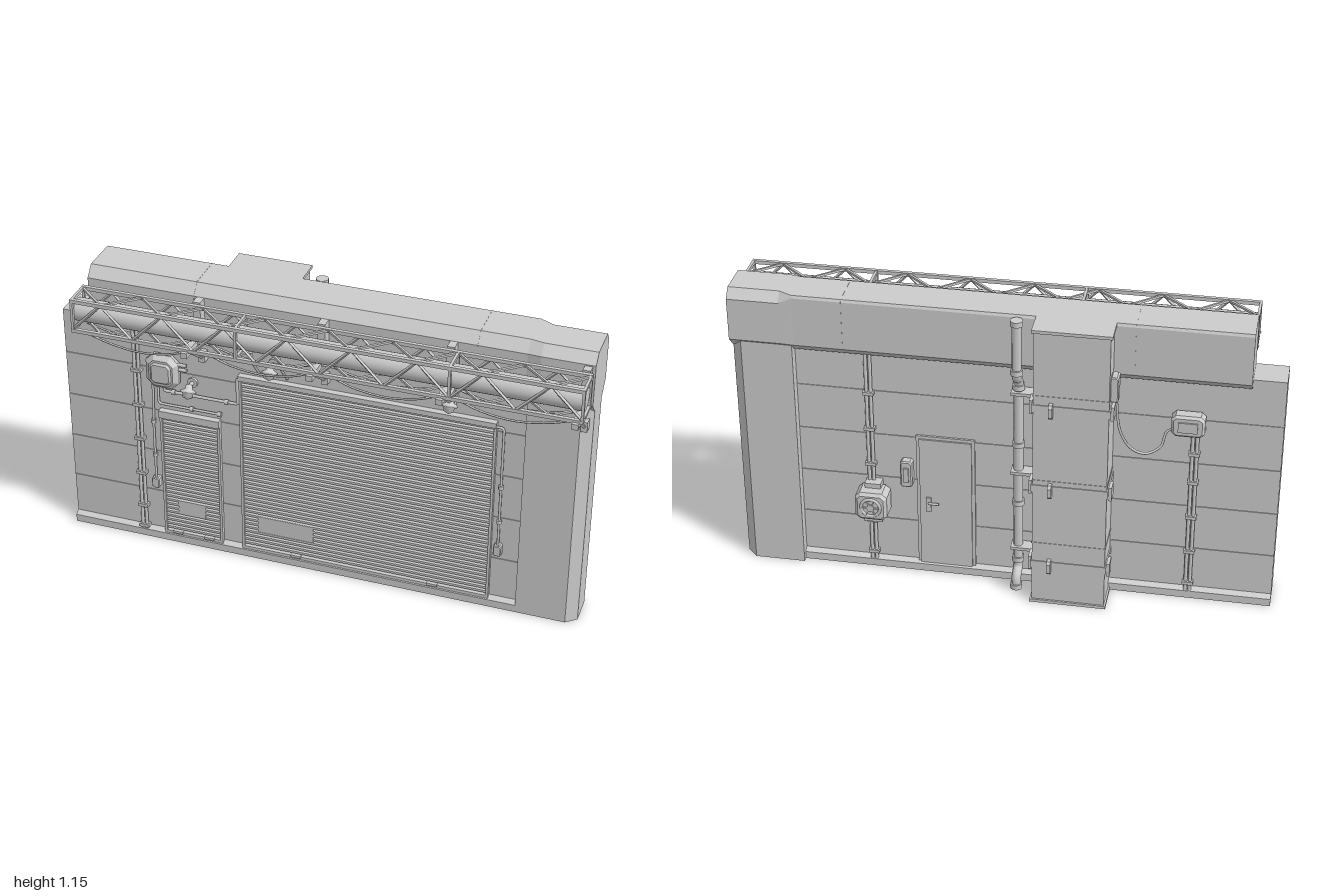
import * as THREE from 'three';

export function createModel() {
  const root = new THREE.Group();
  const mat = new THREE.MeshStandardMaterial({ color: 0xcccccc, flatShading: true });
  const smooth = new THREE.MeshStandardMaterial({ color: 0xcccccc, side: THREE.DoubleSide });
  const V = (p) => new THREE.Vector3(...p);

  const add = (name, geo, m = mat, parent = root) => {
    const mesh = new THREE.Mesh(geo, m);
    mesh.name = name;
    parent.add(mesh);
    return mesh;
  };
  // box given by its limits on x, y and z
  const box = (name, x0, x1, y0, y1, z0, z1, parent) => {
    const g = new THREE.BoxGeometry(x1 - x0, y1 - y0, z1 - z0);
    return add(name, g.translate((x0 + x1) / 2, (y0 + y1) / 2, (z0 + z1) / 2), mat, parent);
  };
  // straight bar between two points
  const rod = (name, a, b, r, sides = 8, parent = root) => {
    const A = V(a), B = V(b), d = B.clone().sub(A);
    const m = add(name, new THREE.CylinderGeometry(r, r, d.length(), sides), sides > 6 ? smooth : mat, parent);
    m.position.copy(A).lerp(B, 0.5);
    m.quaternion.setFromUnitVectors(new THREE.Vector3(0, 1, 0), d.normalize());
    return m;
  };
  // pipe through points with rounded bends
  const pipe = (name, pts, r, bend = 0.02) => {
    const P = pts.map(V), path = new THREE.CurvePath();
    let last = P[0];
    for (let i = 1; i < P.length - 1; i++) {
      const a = P[i].clone().add(P[i - 1].clone().sub(P[i]).setLength(bend));
      const b = P[i].clone().add(P[i + 1].clone().sub(P[i]).setLength(bend));
      path.add(new THREE.LineCurve3(last, a));
      path.add(new THREE.QuadraticBezierCurve3(a, P[i], b));
      last = b;
    }
    path.add(new THREE.LineCurve3(last, P[P.length - 1]));
    return add(name, new THREE.TubeGeometry(path, 24 * P.length, r, 8), smooth);
  };
  const cable = (name, pts, r) =>
    add(name, new THREE.TubeGeometry(new THREE.CatmullRomCurve3(pts.map(V)), 60, r, 6), smooth);
  // (z, y) outline extruded along x
  const alongX = (name, pts, x0, x1) => {
    const s = new THREE.Shape(pts.map(([z, y]) => new THREE.Vector2(-z, y)));
    const g = new THREE.ExtrudeGeometry(s, { depth: x1 - x0, bevelEnabled: false });
    return add(name, g.rotateY(Math.PI / 2).translate(x0, 0, 0));
  };
  // box with cut corners seen from the front, bevelled edges
  const caseBox = (name, x, y, z, w, h, d, c, parent = root) => {
    const a = w / 2, b = h / 2;
    const s = new THREE.Shape([[-a + c, -b], [a - c, -b], [a, -b + c], [a, b - c], [a - c, b], [-a + c, b], [-a, b - c], [-a, -b + c]]
      .map((p) => new THREE.Vector2(...p)));
    const t = c * 0.6;
    const g = new THREE.ExtrudeGeometry(s, { depth: d - 2 * t, bevelThickness: t, bevelSize: t, bevelOffset: -t, bevelSegments: 1 });
    return add(name, g.translate(x, y, z - d / 2 + t), mat, parent);
  };

  // wall: stacked panels with fine seams, and a wider foot
  for (let i = 0; i < 5; i++) {
    const y = 0.03 + i * 0.183;
    box('wallPanel', -1, 0.8, y, y + 0.181, -0.07, 0.05);
  }
  box('wallCore', -0.998, 0.8, 0.03, 0.94, -0.067, 0.047);
  alongX('foot', [[0.07, 0], [0.07, 0.03], [0.05, 0.042], [-0.07, 0.042], [-0.09, 0.03], [-0.09, 0]], -1, 0.8);

  // end pillar with cut outer corners
  const plan = [[0.77, 0.07], [0.96, 0.07], [1, 0.037], [1, -0.07], [0.96, -0.11], [0.77, -0.11]];
  const pillar = new THREE.ExtrudeGeometry(new THREE.Shape(plan.map(([x, z]) => new THREE.Vector2(x, -z))),
    { depth: 0.95, bevelEnabled: false });
  add('pillar', pillar.rotateX(-Math.PI / 2));

  // top beam: cross-sections that change into the chamfered cap
  const main = [[0.035, 1.145], [0.07, 1.105], [0.07, 0.945], [0.045, 0.915], [-0.085, 0.915], [-0.115, 0.945], [-0.117, 1.135], [-0.112, 1.145]];
  const cap = [[0.045, 1.145], [0.08, 1.11], [0.08, 0.948], [0.037, 0.905], [-0.075, 0.905], [-0.117, 0.948], [-0.117, 1.11], [-0.087, 1.145]];
  const beamPos = [], beamIdx = [];
  [[-0.88, main], [0.76, main], [0.81, cap], [1, cap]].forEach(([x, sec], k) => {
    sec.forEach(([z, y], i) => {
      beamPos.push(x, y, z);
      if (k < 3) {
        const a = k * 8 + i, b = k * 8 + (i + 1) % 8;
        beamIdx.push(a, b, a + 8, b, b + 8, a + 8);
      }
    });
  });
  for (let i = 1; i < 7; i++) beamIdx.push(0, i + 1, i, 24, 24 + i, 25 + i);
  const beam = new THREE.BufferGeometry();
  beam.setAttribute('position', new THREE.Float32BufferAttribute(beamPos, 3));
  beam.setIndex(beamIdx);
  const beamGeo = beam.toNonIndexed();
  beamGeo.computeVertexNormals();
  add('topBeam', beamGeo, new THREE.MeshStandardMaterial({ color: 0xcccccc, flatShading: true, side: THREE.DoubleSide }));
  for (const x of [-0.47, 0.58]) alongX('beamSeam', main.map(([z, y]) => [z * 1.01, y + 0.001]), x, x + 0.004);

  // roller shutters: ribbed sheet, rails, header and a plain plate
  const shutter = (x0, x1, top, header) => {
    const pts = [[0.045, 0.03]], n = Math.round((top - 0.03) / 0.0185), step = (top - 0.03) / n;
    for (let i = 0; i < n; i++) {
      const y = 0.03 + i * step;
      pts.push([0.053, y], [0.061, y + step * 0.25], [0.061, y + step * 0.75], [0.053, y + step * 0.98]);
    }
    pts.push([0.045, top]);
    alongX('shutterSlats', pts, x0, x1);
    for (const x of [x0, x1]) box('shutterRail', x - 0.005, x + 0.005, 0.03, top, 0.045, 0.066);
    box('shutterHeader', x0 - 0.005, x1 + 0.005, top, top + header, 0.045, 0.075);
    box('shutterSill', x0, x1, 0.03, 0.045, 0.045, 0.066);
    for (const t of [0.22, 0.78]) {
      const x = x0 + (x1 - x0) * t;
      box('shutterHandle', x - 0.02, x + 0.02, 0.04, 0.05, 0.06, 0.072);
    }
  };
  shutter(-0.3, 0.66, 0.785, 0.02);
  shutter(-0.62, -0.39, 0.56, 0.03);
  box('shutterPlate', -0.24, -0.02, 0.12, 0.19, 0.05, 0.0625);
  box('shutterPlate', -0.565, -0.455, 0.13, 0.19, 0.05, 0.0625);

  // truss: four chords, zigzag bracing, end frames, inner tube
  const truss = new THREE.Group();
  truss.name = 'truss';
  root.add(truss);
  const X0 = -0.88, X1 = 1, YB = 0.972, YT = 1.092, ZB = 0.119, ZF = 0.223;
  for (const y of [YB, YT]) for (const z of [ZB, ZF])
    box('chord', X0, X1, y - 0.007, y + 0.007, z - 0.007, z + 0.007, truss);
  const bays = 16, bay = (X1 - X0) / bays;
  for (let i = 0; i < bays; i++) {
    const a = X0 + i * bay, b = a + bay, up = i % 2;
    for (const z of [ZB, ZF]) rod('brace', [a, up ? YT : YB, z], [b, up ? YB : YT, z], 0.006, 4, truss);
    for (const y of [YB, YT]) rod('brace', [a, y, up ? ZF : ZB], [b, y, up ? ZB : ZF], 0.006, 4, truss);
  }
  for (const x of [X0 + 0.005, -0.25, 0.53, X1 - 0.005]) {
    for (const z of [ZB, ZF]) box('frameUpright', x - 0.005, x + 0.005, YB, YT, z - 0.006, z + 0.006, truss);
    for (const y of [YB, YT]) box('frameCross', x - 0.005, x + 0.005, y - 0.006, y + 0.006, ZB, ZF, truss);
  }
  rod('innerTube', [X0 + 0.005, 1.033, 0.172], [X1 - 0.005, 1.033, 0.172], 0.043, 24, truss);

  // brackets that carry the truss
  for (const x of [-0.44, 0.03, 0.5, 0.975]) {
    box('bracketPlate', x - 0.014, x + 0.014, 0.948, 1.105, 0.068, 0.11);
    box('bracketShelf', x - 0.012, x + 0.012, 0.948, 0.97, 0.075, 0.243);
    rod('bracketStrut', [x, 0.955, 0.2], [x, 0.86, 0.075], 0.007, 4);
    box('bracketFoot', x - 0.012, x + 0.012, 0.84, 0.88, 0.045, 0.08);
  }

  // cables sagging below the truss, and hanging leads
  for (const [z, sag] of [[0.14, 0.035], [0.195, 0.05]]) {
    const pts = [];
    for (let i = 0; i <= 16; i++) pts.push([-0.86 + i * 0.115, 0.96 - sag * Math.sin((i % 4) * Math.PI / 4), z]);
    cable('saggingCable', pts, 0.004);
  }
  for (const x of [-0.225, -0.12]) pipe('lampLead', [[x, 0.97, 0.14], [x, 0.9, 0.12], [x, 0.82, 0.055]], 0.005);

  // wall lamps
  const lampProfile = [[0, 0.03], [0.012, 0.028], [0.014, 0.012], [0.03, 0.004], [0.03, -0.002], [0.02, -0.006], [0.018, -0.02], [0, -0.028]]
    .map((p) => new THREE.Vector2(...p));
  for (const [x, y] of [[-0.49, 0.715], [-0.17, 0.86], [0.5, 0.86]]) {
    const lamp = add('lamp', new THREE.LatheGeometry(lampProfile, 16), smooth);
    lamp.position.set(x, y, 0.1);
    lamp.rotation.x = -0.5;
    rod('lampArm', [x, y + 0.015, 0.045], [x, y + 0.015, 0.095], 0.008);
    rod('lampBase', [x, y + 0.015, 0.045], [x, y + 0.015, 0.06], 0.02, 12);
  }

  // front control case with its pipes
  caseBox('controlCase', -0.6, 0.767, 0.068, 0.13, 0.14, 0.05, 0.03);
  caseBox('controlCaseCover', -0.6, 0.767, 0.09, 0.085, 0.09, 0.02, 0.015);
  for (const y of [0.785, 0.805]) rod('caseFitting', [-0.54, y, 0.07], [-0.505, y, 0.07], 0.007);
  const pipeZ = 0.066;
  pipe('conduit', [[-0.6, 0.7, pipeZ], [-0.6, 0.68, pipeZ], [-0.31, 0.68, pipeZ], [-0.31, 0.79, pipeZ], [-0.29, 0.79, pipeZ]], 0.006, 0.009);
  pipe('conduit', [[-0.625, 0.7, pipeZ], [-0.625, 0.62, pipeZ], [-0.38, 0.62, pipeZ]], 0.005, 0.015);
  pipe('conduit', [[-0.645, 0.7, pipeZ], [-0.65, 0.5, pipeZ], [-0.65, 0.27, pipeZ]], 0.005);
  pipe('conduit', [[0.66, 0.787, pipeZ], [0.692, 0.787, pipeZ], [0.692, 0.27, pipeZ]], 0.005, 0.012);
  for (const x of [-0.65, 0.692]) {
    caseBox('switchBox', x, 0.262, 0.063, 0.03, 0.045, 0.03, 0.005);
    for (const y of [0.38, 0.53]) rod('pipeClip', [x, y, pipeZ], [x, y + 0.014, pipeZ], 0.01);
  }
  for (const [x, y] of [[-0.57, 0.68], [-0.36, 0.68], [-0.5, 0.62], [-0.39, 0.62]])
    rod('pipeClip', [x, y, pipeZ], [x + 0.014, y, pipeZ], 0.01);

  // paired upright pipes with clamps
  const pipePair = (x, z, top, levels) => {
    for (const s of [-1, 1]) rod('uprightPipe', [x + s * 0.008, 0.03, z], [x + s * 0.008, top, z], 0.007);
    for (const y of levels) box('pipeClamp', x - 0.02, x + 0.02, y, y + 0.013, z - 0.012, z + 0.012);
  };
  pipePair(-0.71, 0.062, 0.93, [0.04, 0.135, 0.285, 0.44, 0.59, 0.74]);
  pipePair(0.5, -0.083, 0.93, [0.06, 0.2, 0.45, 0.6, 0.75]);
  pipePair(-0.69, -0.083, 0.72, [0.06, 0.2, 0.35, 0.5, 0.62]);

  // tall duct on the back with lids, bands and tabs
  box('duct', -0.395, -0.125, 0.006, 1.138, -0.21, -0.07);
  for (const y of [0, 1.133]) box('ductLid', -0.402, -0.118, y, y + 0.012, -0.217, -0.075);
  for (const y of [0.26, 0.53, 0.88]) box('ductSeam', -0.397, -0.123, y, y + 0.004, -0.212, -0.07);
  for (const y of [0.14, 0.47, 0.803]) {
    box('ductBand', -0.4, -0.12, y + 0.012, y + 0.043, -0.213, -0.07);
    alongX('ductTab', [[-0.2, y], [-0.228, y], [-0.238, y + 0.01], [-0.238, y + 0.045], [-0.228, y + 0.055], [-0.2, y + 0.055]], -0.197, -0.183);
    for (const x of [-0.412, -0.122]) box('ductSidePlate', x, x + 0.012, y, y + 0.055, -0.205, -0.155);
    box('pipeBracket', -0.12, -0.03, y + 0.02, y + 0.032, -0.125, -0.075);
  }

  // drain pipe beside the duct
  pipe('drainPipe', [[-0.055, 1.13, -0.145], [-0.055, 0.91, -0.145], [-0.055, 0.88, -0.098], [-0.055, 0.07, -0.098],
    [-0.055, 0.05, -0.14], [-0.055, 0.004, -0.14]], 0.018, 0.02);
  for (const [y, z] of [[1.12, -0.145], [0.925, -0.145], [0.84, -0.098], [0.6, -0.098], [0.35, -0.098], [0.1, -0.098], [0.004, -0.14]])
    rod('drainCollar', [-0.055, y, z], [-0.055, y + 0.02, z], 0.023, 16);

  // back door
  box('doorFrame', 0.11, 0.33, 0.03, 0.59, -0.078, -0.06);
  box('doorLeaf', 0.122, 0.318, 0.035, 0.578, -0.084, -0.06);
  box('doorLock', 0.275, 0.295, 0.27, 0.33, -0.09, -0.08);
  rod('doorHandle', [0.285, 0.31, -0.098], [0.245, 0.31, -0.098], 0.005);
  caseBox('doorPanel', 0.365, 0.43, -0.082, 0.045, 0.11, 0.04, 0.008);
  box('doorPanelButtons', 0.355, 0.375, 0.4, 0.46, -0.108, -0.1);

  // fan unit on the back
  caseBox('fanCase', 0.49, 0.308, -0.115, 0.12, 0.115, 0.09, 0.018);
  const ring = add('fanRing', new THREE.TorusGeometry(0.036, 0.006, 8, 24), smooth);
  ring.position.set(0.49, 0.308, -0.16);
  rod('fanHub', [0.49, 0.308, -0.15], [0.49, 0.308, -0.165], 0.014, 16);
  for (let i = 0; i < 3; i++) {
    const c = Math.cos(i * Math.PI / 3) * 0.036, s = Math.sin(i * Math.PI / 3) * 0.036;
    rod('fanGuard', [0.49 - c, 0.308 - s, -0.162], [0.49 + c, 0.308 + s, -0.162], 0.003, 6);
  }
  box('fanTopFitting', 0.46, 0.52, 0.36, 0.385, -0.115, -0.07);
  box('fanLowerFitting', 0.455, 0.525, 0.225, 0.255, -0.125, -0.07);

  // junction box joined to the duct by a slack cable
  caseBox('junctionBox', -0.665, 0.755, -0.095, 0.12, 0.085, 0.055, 0.015);
  box('junctionCover', -0.7, -0.63, 0.735, 0.775, -0.128, -0.12);
  caseBox('ductSocket', -0.408, 0.92, -0.165, 0.03, 0.1, 0.05, 0.006);
  cable('slackCable', [[-0.415, 0.87, -0.17], [-0.43, 0.74, -0.16], [-0.47, 0.66, -0.14], [-0.52, 0.635, -0.125],
    [-0.57, 0.66, -0.11], [-0.59, 0.72, -0.1], [-0.62, 0.735, -0.1]], 0.005);

  return root;
}
